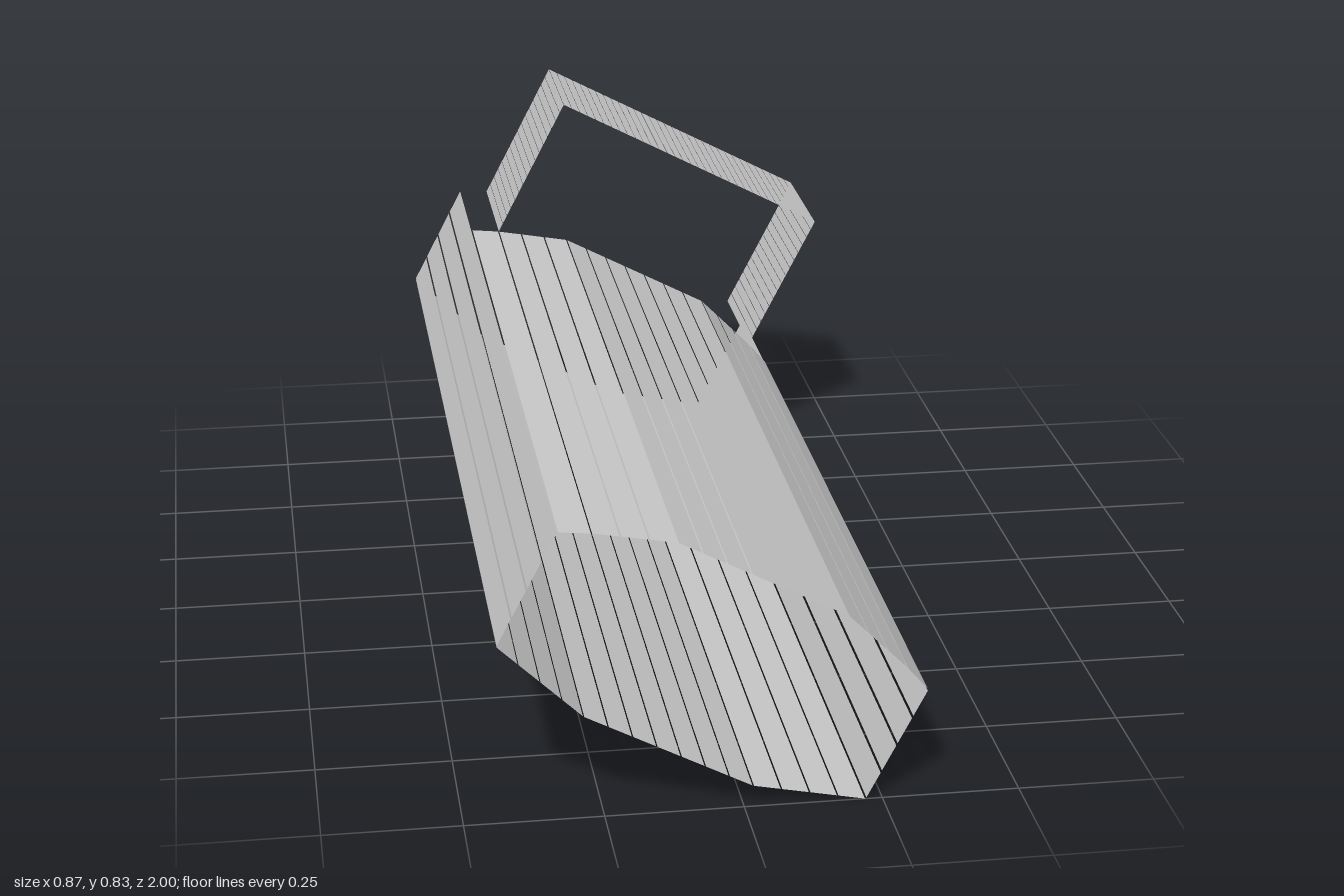
import * as THREE from 'three';
import { mergeGeometries } from 'three/addons/utils/BufferGeometryUtils.js';

const material = new THREE.MeshStandardMaterial({ color: 0xcccccc, side: THREE.DoubleSide, flatShading: true });

// The cross-section lives in a tilted frame: u runs along the width, v across it
const TILT = -0.48, ORIGIN = new THREE.Vector2(-0.328, 0.551);
const place = ([u, v]) => new THREE.Vector2(u, v).rotateAround(new THREE.Vector2(), TILT).add(ORIGIN);

// Thin slats along z, laid side by side on the line from a to b
function slats(a, b, z0, z1, pitch, gap) {
  const p = place(a), q = place(b), length = p.distanceTo(q);
  const count = Math.max(1, Math.round(length / pitch)), step = length / count;
  const angle = Math.atan2(q.y - p.y, q.x - p.x);
  const parts = [];
  for (let i = 0; i < count; i++) {
    const c = p.clone().lerp(q, (i + 0.5) / count);
    parts.push(new THREE.PlaneGeometry(step - gap, z1 - z0).rotateX(-Math.PI / 2).rotateZ(angle)
      .translate(c.x, c.y, (z0 + z1) / 2));
  }
  return mergeGeometries(parts);
}

// A panel that follows a bent path of slats
function panel(name, path, z0, z1, pitch, gap) {
  const runs = path.slice(1).map((b, i) => slats(path[i], b, z0, z1, pitch, gap));
  const mesh = new THREE.Mesh(mergeGeometries(runs), material);
  mesh.name = name;
  return mesh;
}

export function createModel() {
  const model = new THREE.Group();
  model.name = 'slattedCase';
  const W = 0.74, H = 0.235, BACK = -1, STEP = -0.7, FRONT = 1;

  // Body: bulged top and bottom joined by two side walls
  model.add(
    panel('topPanel', [[0, 0], [0.055, 0.022], [0.2, 0.068], [0.54, 0.068], [0.685, 0.022], [W, 0]], STEP, FRONT, 0.05, 0.003),
    panel('bottomPanel', [[0, -H], [0.2, -H - 0.058], [0.54, -H - 0.058], [W, -H]], BACK, FRONT, 0.05, 0.003),
    panel('rightWall', [[0, 0], [0, -H]], BACK, FRONT, 0.055, 0.005),
    panel('leftWall', [[W, 0], [W, -H]], BACK, FRONT, 0.055, 0.005));

  // Handle: a square arch over the open back end
  model.add(panel('handle', [[0.055, 0.022], [0.055, 0.34], [0.685, 0.34], [0.685, 0.022]], BACK, STEP, 0.02, 0.001));
  return model;
}
